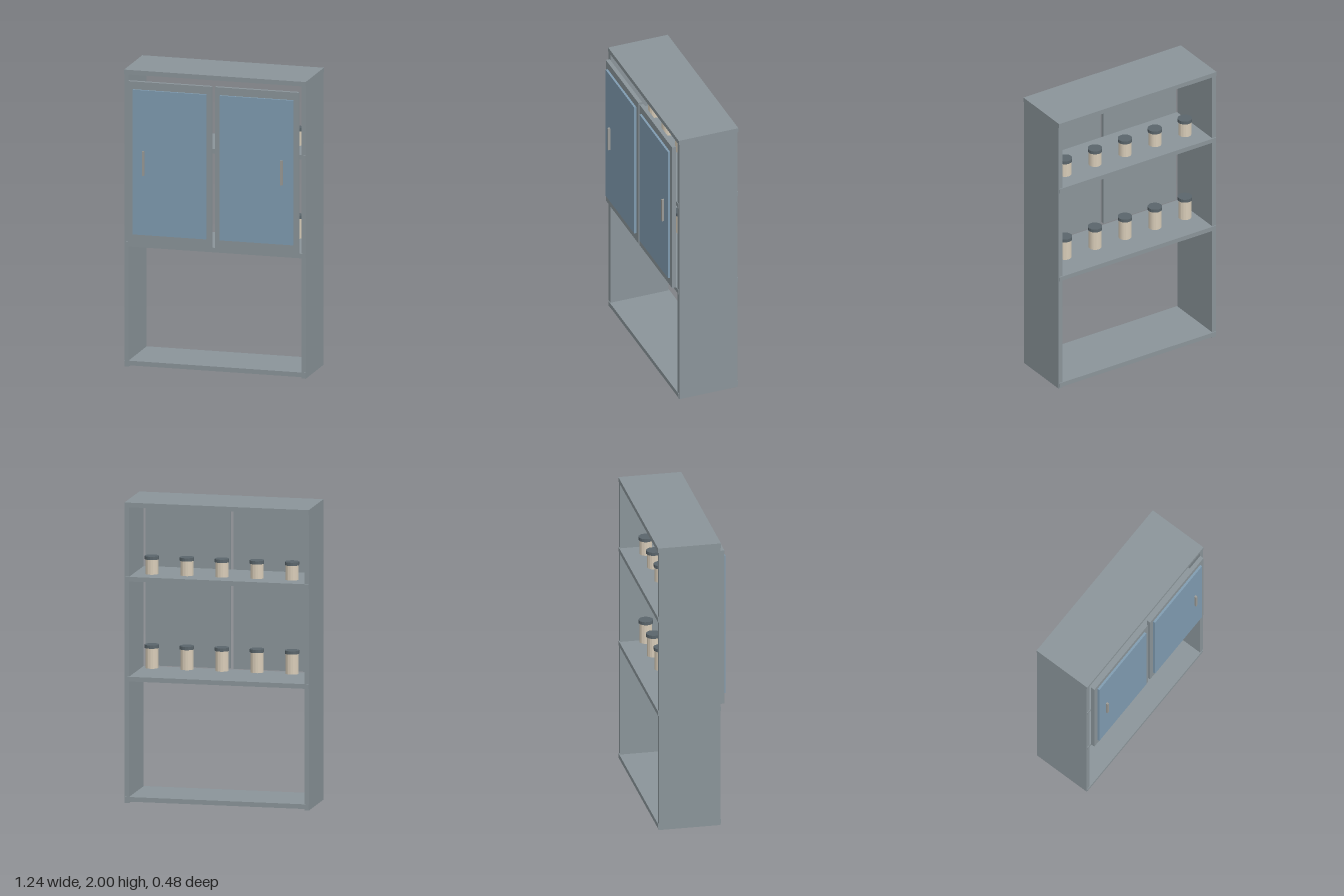
import * as THREE from 'three';

const mat = (color, flat = false) => new THREE.MeshStandardMaterial({ color, flatShading: flat });

export function createModel() {
  const model = new THREE.Group();
  model.name = 'storageCabinet';

  const wood = mat(0x8a9499);
  const glass = mat(0x7f9bb0);
  const metal = mat(0x9a9a96);
  const jarMat = mat(0xd8ccb8, true);
  const lidMat = mat(0x5a656b, true);

  // Box given by its lower and upper limits on each axis
  const box = (name, [x0, x1], [y0, y1], [z0, z1], material, parent = model) => {
    const mesh = new THREE.Mesh(new THREE.BoxGeometry(x1 - x0, y1 - y0, z1 - z0), material);
    mesh.position.set((x0 + x1) / 2, (y0 + y1) / 2, (z0 + z1) / 2);
    mesh.name = name;
    parent.add(mesh);
  };

  // Upright side panels
  box('leftSide', [0.59, 0.62], [0, 1.999], [-0.236, 0.175], wood);
  box('rightSide', [-0.62, -0.59], [0, 1.999], [-0.236, 0.175], wood);

  // Horizontal boards, slightly proud of the sides at front and back
  const boards = { bottomBoard: 0.01, lowerShelf: 0.81, upperShelf: 1.475, topBoard: 1.969 };
  for (const [name, y] of Object.entries(boards)) {
    const w = name === 'topBoard' ? 0.62 : 0.617;
    box(name, [-w, w], [y, y + 0.031], [-0.242, 0.179], wood);
  }

  // Two doors: frame, raised panel and pull handle near the outer edge
  for (const side of [-1, 1]) {
    const door = new THREE.Group();
    door.name = side > 0 ? 'leftDoor' : 'rightDoor';
    const cx = side * 0.297 - 0.002;
    box('doorFrame', [cx - 0.285, cx + 0.285], [0.845, 1.932], [0.183, 0.21], wood, door);
    box('doorPanel', [cx - 0.251, cx + 0.251], [0.905, 1.88], [0.208, 0.225], glass, door);
    const hx = side * 0.472 - 0.002;
    box('doorHandle', [hx - 0.007, hx + 0.007], [1.308, 1.473], [0.224, 0.24], metal, door);
    model.add(door);
  }

  // Two rows of lidded jars
  const bodyGeo = new THREE.CylinderGeometry(0.043, 0.043, 0.135, 16);
  const lidGeo = new THREE.CylinderGeometry(0.048, 0.048, 0.022, 16);
  for (const y of [0.88, 1.47]) {
    for (let i = -2; i <= 2; i++) {
      const jar = new THREE.Group();
      jar.name = 'jar';
      const body = new THREE.Mesh(bodyGeo, jarMat);
      body.name = 'jarBody';
      body.position.y = 0.0675;
      const lid = new THREE.Mesh(lidGeo, lidMat);
      lid.name = 'jarLid';
      lid.position.y = 0.145;
      jar.add(body, lid);
      jar.position.set(i * 0.236, y, -0.09);
      model.add(jar);
    }
  }

  return model;
}
